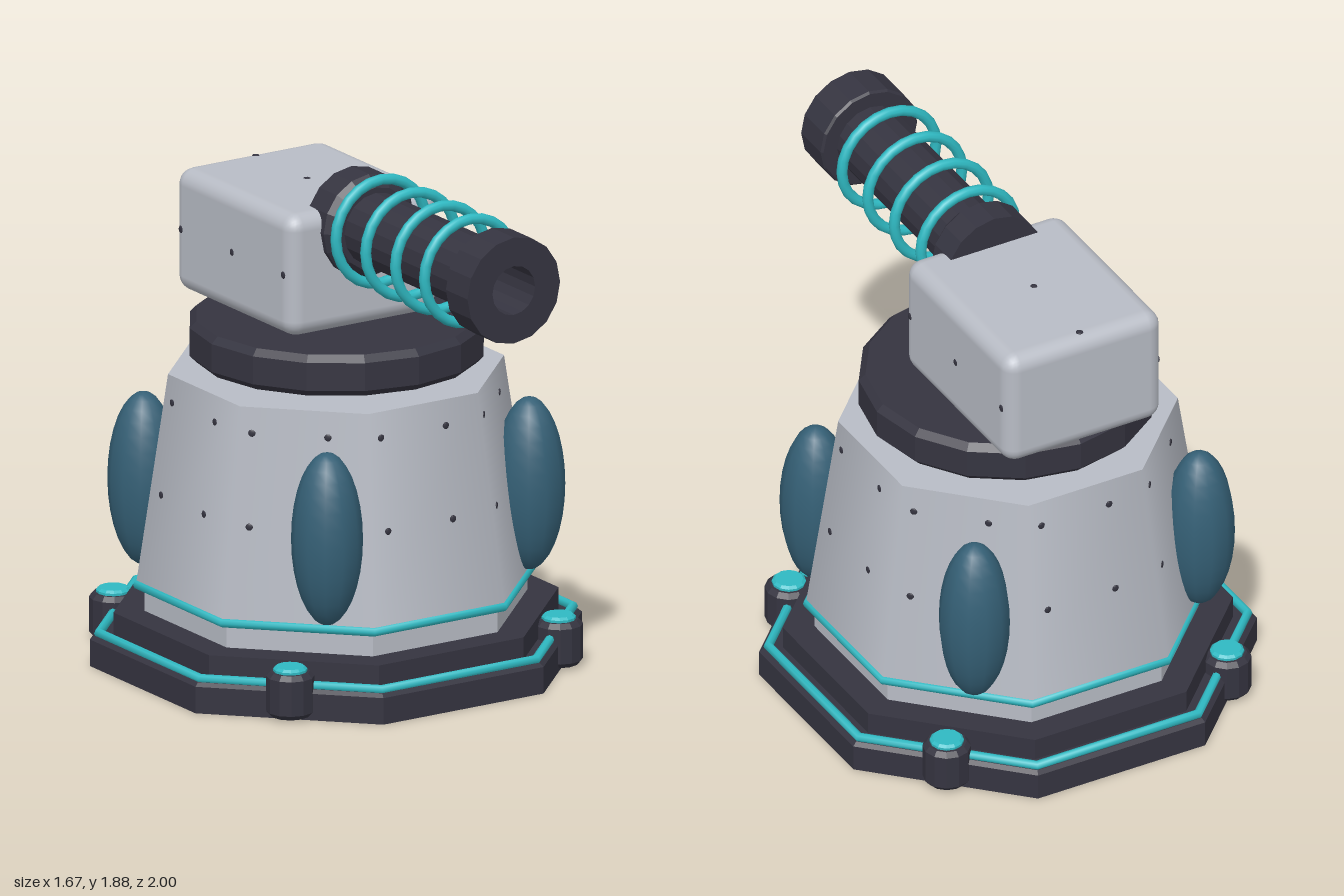
import * as THREE from 'three';
import { RoundedBoxGeometry } from 'three/addons/geometries/RoundedBoxGeometry.js';

const CZ = -0.165;                       // centre of the base along z
const K = 1 / Math.cos(Math.PI / 8);     // octagon flat distance -> corner radius

function material(name, color) {
  const m = new THREE.MeshStandardMaterial({ color });
  m.name = name;
  return m;
}

function flat(geometry) {
  const g = geometry.toNonIndexed();
  g.computeVertexNormals();
  return g;
}

// Faceted turned part from [radius, height] pairs
function turned(points, sides, phase = 0) {
  return flat(new THREE.LatheGeometry(points.map(p => new THREE.Vector2(p[0], p[1])), sides, phase));
}

// Octagonal turned part with flats facing the axes
function octagon(points) {
  return turned(points.map(([r, y]) => [r * K, y]), 8, Math.PI / 8);
}

export function createModel() {
  const model = new THREE.Group();
  model.name = 'turret';
  const dark = material('darkMetal', 0x353440);
  const grey = material('lightGrey', 0xb8bcc5);
  const teal = material('teal', 0x2fb9c2);
  const blue = material('deepBlue', 0x356076);

  function add(name, geometry, mat, x = 0, y = 0, z = 0, parent = model) {
    const mesh = new THREE.Mesh(geometry, mat);
    mesh.name = name;
    mesh.position.set(x, y, z);
    parent.add(mesh);
    return mesh;
  }

  // Stepped octagonal base
  add('basePlinth', octagon([[0, 0], [0.835, 0], [0.835, 0.1], [0.82, 0.113], [0, 0.113]]), dark, 0, 0, CZ);
  add('baseStep', octagon([[0.755, 0.11], [0.755, 0.197], [0, 0.197]]), dark, 0, 0, CZ);

  // Octagonal trim rings
  for (const [name, r, tube, y] of [['baseTrim', 0.804, 0.018, 0.122], ['towerTrim', 0.672, 0.018, 0.297]]) {
    const ring = new THREE.TorusGeometry(r * K, tube, 8, 8).rotateX(Math.PI / 2).rotateY(Math.PI / 8);
    add(name, ring, teal, 0, y, CZ);
  }

  // Tower
  add('towerFoot', octagon([[0.65, 0.19], [0.65, 0.32]]), grey, 0, 0, CZ);
  const tower = new THREE.CylinderGeometry(0.57 * K, 0.677 * K, 0.775, 8).rotateY(Math.PI / 8);
  add('tower', tower, grey, 0, 0.6975, CZ);

  // Small rivets on each tower face
  const rivet = new THREE.SphereGeometry(0.014, 8, 6).scale(1, 1, 0.3);
  for (let i = 0; i < 8; i++) {
    const face = new THREE.Group();
    face.name = 'towerRivets';
    face.position.z = CZ;
    face.rotation.y = i * Math.PI / 4;
    for (const y of [0.65, 0.99]) {
      const d = 0.677 - (y - 0.31) * 0.107 / 0.775;
      for (const x of [-0.19, 0.09]) add('rivet', rivet, dark, x, y, d, face);
    }
    model.add(face);
  }

  // Corner posts with lit caps
  const post = turned([[0, 0.012], [0.072, 0.012], [0.088, 0.03], [0.088, 0.16], [0.072, 0.178], [0, 0.178]], 12);
  const cap = turned([[0.062, 0.17], [0.062, 0.187], [0.052, 0.196], [0, 0.196]], 12);
  for (const x of [-0.58, 0.58]) for (const z of [-0.58, 0.58]) {
    add('cornerPost', post, dark, x, 0, CZ + z);
    add('cornerPostCap', cap, teal, x, 0, CZ + z);
  }

  // Four tall pods around the tower
  const pod = new THREE.SphereGeometry(0.13, 12, 16).scale(1, 2.5, 1);
  for (let i = 0; i < 4; i++) {
    const a = 0.6 + i * 1.6;
    add('pod', pod, blue, 0.697 * Math.cos(a), 0.643, CZ + 0.697 * Math.sin(a)).rotation.y = -a;
  }

  // Turntable
  add('turntable', turned([[0, 1.125], [0.515, 1.125], [0.54, 1.15], [0.54, 1.255], [0.515, 1.28], [0, 1.28]], 16), dark, 0, 0, CZ + 0.005);

  // Head block with rivets
  add('head', new RoundedBoxGeometry(0.65, 0.46, 0.77, 3, 0.06), grey, 0, 1.51, -0.355);
  for (const z of [-0.02, -0.355, -0.69]) {
    for (const s of [-1, 1]) add('headRivet', rivet, dark, s * 0.324, 1.515, z).rotation.y = Math.PI / 2;
  }
  for (const z of [-0.355, -0.69]) add('headTopRivet', rivet, dark, 0, 1.739, z).rotation.x = Math.PI / 2;

  // Hollow barrel: rear collar, tube and muzzle
  const barrel = turned([
    [0, -0.065], [0.195, -0.065], [0.195, 0.05], [0.155, 0.095], [0.135, 0.095],
    [0.135, 0.85], [0.192, 0.85], [0.2, 0.858], [0.2, 1], [0.092, 1], [0.092, 0], [0, 0],
  ], 16).rotateX(Math.PI / 2);
  add('barrel', barrel, dark, 0, 1.665, 0);

  // Coil rings around the barrel
  const coil = new THREE.TorusGeometry(0.195, 0.02, 10, 24);
  for (const z of [0.13, 0.325, 0.52, 0.71]) add('coilRing', coil, teal, 0, 1.665, z);

  return model;
}
